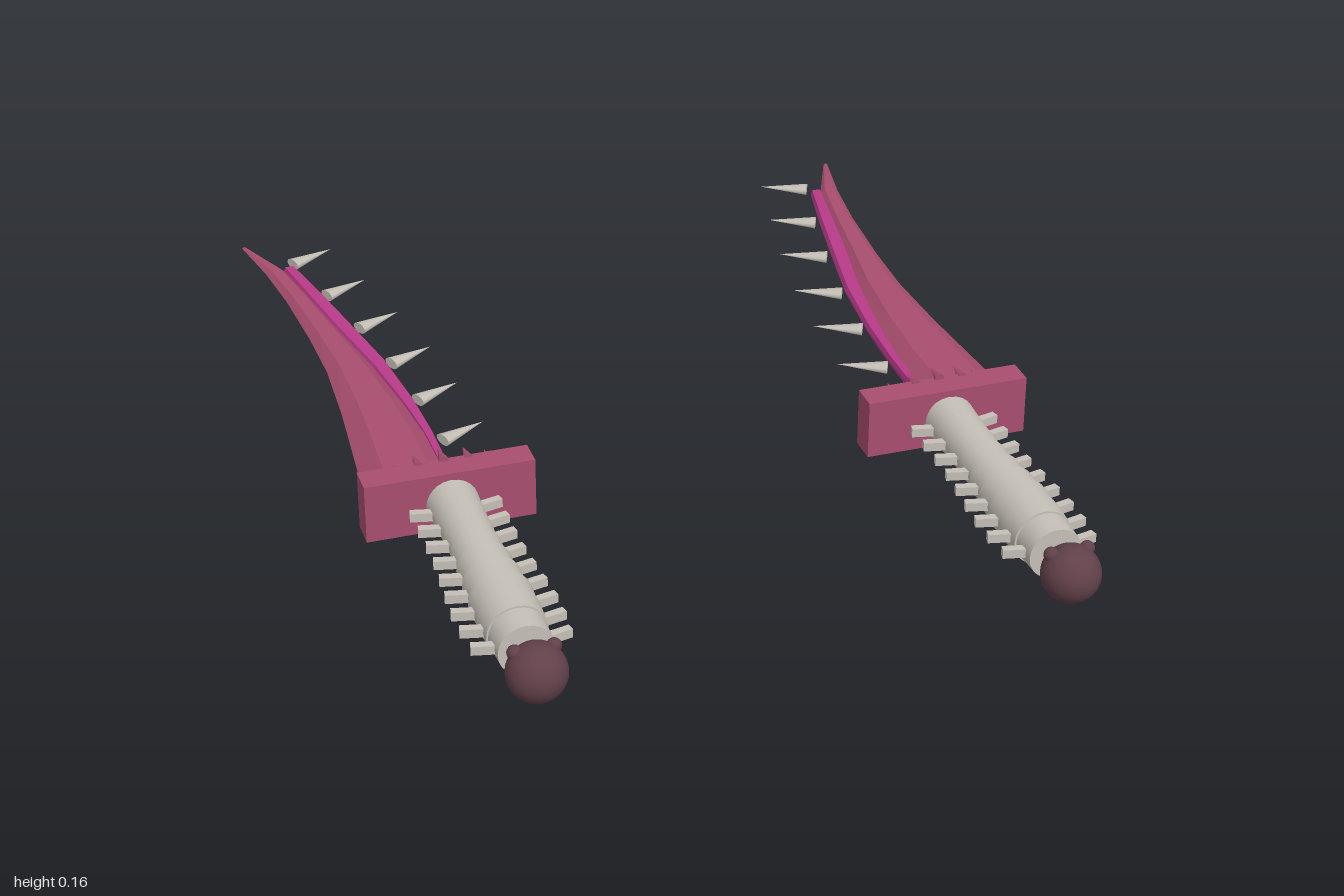
import * as THREE from 'three';

const mat = (name, color, side = THREE.FrontSide) => {
  const m = new THREE.MeshStandardMaterial({ color, side });
  m.name = name;
  return m;
};

// Lofted bar with a six-sided section; stations are [z, left, right, halfThickness]
function loft(stations, s, flat) {
  const pos = [];
  const rings = stations.map(([z, a, b, t]) => {
    const k = (b - a) * (1 - flat) / 2;
    return [[a, 0], [a + k, t], [b - k, t], [b, 0], [b - k, -t], [a + k, -t]]
      .map(([u, y]) => [u * s, y, z]);
  });
  const tri = (a, b, c) => pos.push(...a, ...(s > 0 ? b : c), ...(s > 0 ? c : b));
  for (let i = 0; i < rings.length - 1; i++) {
    const f = rings[i], r = rings[i + 1];
    for (let j = 0; j < 6; j++) {
      const n = (j + 1) % 6;
      tri(f[j], f[n], r[n]);
      tri(f[j], r[n], r[j]);
    }
  }
  const first = rings[0], last = rings[rings.length - 1];
  for (let j = 1; j < 5; j++) {
    tri(first[0], first[j + 1], first[j]);
    tri(last[0], last[j], last[j + 1]);
  }
  const g = new THREE.BufferGeometry();
  g.setAttribute('position', new THREE.Float32BufferAttribute(pos, 3));
  g.computeVertexNormals();
  return g;
}

const BLADE = [
  [0.214, -0.172, 0.029, 0.033], [0, -0.153, 0.022, 0.029], [-0.15, -0.14, 0.006, 0.025],
  [-0.34, -0.13, -0.023, 0.021], [-0.5, -0.134, -0.055, 0.018], [-0.7, -0.147, -0.09, 0.014],
  [-0.85, -0.165, -0.119, 0.01], [-1, -0.193, -0.183, 0.002],
];
const EDGE = [
  [0.2, 0.01, 0.03, 0.012], [0, 0.008, 0.031, 0.012], [-0.15, -0.006, 0.026, 0.012],
  [-0.34, -0.033, 0.008, 0.012], [-0.53, -0.07, -0.027, 0.012], [-0.7, -0.098, -0.06, 0.012],
  [-0.85, -0.121, -0.093, 0.011],
];
const SPIKES = [[-0.093, -0.88], [-0.05, -0.7], [-0.013, -0.52], [0.018, -0.335], [0.035, -0.156], [0.045, 0.029]];
const TEETH = [[0, 0.067], [-0.055, 0.06], [0.055, 0.06], [-0.098, 0.045], [0.102, 0.045], [0.115, 0.02]];
const RADII = [0.056, 0.054, 0.053, 0.054, 0.058, 0.063, 0.067, 0.066, 0.06];

function makeSword(s, mats) {
  const sword = new THREE.Group();
  sword.name = s > 0 ? 'rightSword' : 'leftSword';
  const add = (name, geo, m, x = 0, y = 0, z = 0) => {
    const mesh = new THREE.Mesh(geo, m);
    mesh.name = name;
    mesh.position.set(x * s, y, z);
    sword.add(mesh);
    return mesh;
  };

  // Blade and bright cutting edge
  add('blade', loft(BLADE, s, 0.5), mats.blade);
  add('cuttingEdge', loft(EDGE, s, 0.7), mats.edge);

  // Flattened thorns beside the cutting edge
  const dir = new THREE.Vector3(0.105 * s, 0, -0.05).normalize();
  const up = new THREE.Vector3(0, 1, 0);
  for (const [u, z] of SPIKES) {
    const geo = new THREE.ConeGeometry(0.021, 0.115, 12);
    geo.translate(0, 0.0575, 0);
    geo.applyQuaternion(new THREE.Quaternion().setFromUnitVectors(up, dir));
    geo.scale(1, 0.6, 1);
    add('bladeSpike', geo, mats.bone, u, 0, z);
  }

  // Guard with small teeth above and below the blade
  add('guard', new THREE.BoxGeometry(0.372, 0.135, 0.065), mats.blade, 0, -0.002, 0.243);
  for (const [u, y] of TEETH) {
    for (const v of [1, -1]) {
      const geo = new THREE.ConeGeometry(0.012, 0.055, 8);
      geo.rotateX(-Math.PI / 2);
      add('guardTooth', geo, mats.blade, u, y * v, 0.195);
    }
  }

  // Vertebra grip: stacked rings, each with a tilted peg on both sides
  const core = new THREE.CylinderGeometry(0.05, 0.05, 0.6, 20);
  add('gripCore', core.rotateX(Math.PI / 2), mats.bone, 0, 0, 0.555);
  const step = 0.0638;
  RADII.forEach((r, i) => {
    const z = 0.286 + step * (i + 0.5);
    const ring = new THREE.CylinderGeometry(r - 0.002, r + 0.001, step - 0.002, 24);
    add('gripRing', ring.rotateX(Math.PI / 2), mats.bone, 0, 0, z);
    for (const v of [1, -1]) {
      const peg = new THREE.BoxGeometry(0.055, 0.02, 0.018);
      add('gripPeg', peg, mats.bone, v * (r + 0.016), 0, z - 0.002).rotation.y = v * s * 0.22;
    }
  });

  // Pommel ball with two raised knobs
  add('pommel', new THREE.SphereGeometry(0.063, 32, 20), mats.pommel, 0, 0, 0.935);
  for (const v of [1, -1]) {
    add('pommelKnob', new THREE.SphereGeometry(0.016, 16, 10), mats.pommel, v * 0.04, 0.044, 0.92);
  }

  sword.position.set(-0.565 * s, 0.083, 0);
  return sword;
}

export function createModel() {
  const mats = {
    blade: mat('roseMetal', 0xa84e6e),
    edge: mat('magentaEdge', 0xb83a88),
    bone: mat('paleBone', 0xc4bfb6),
    pommel: mat('darkPlum', 0x61404a),
  };
  const model = new THREE.Group();
  model.name = 'twinSwords';
  for (const s of [1, -1]) model.add(makeSword(s, mats));
  return model;
}
